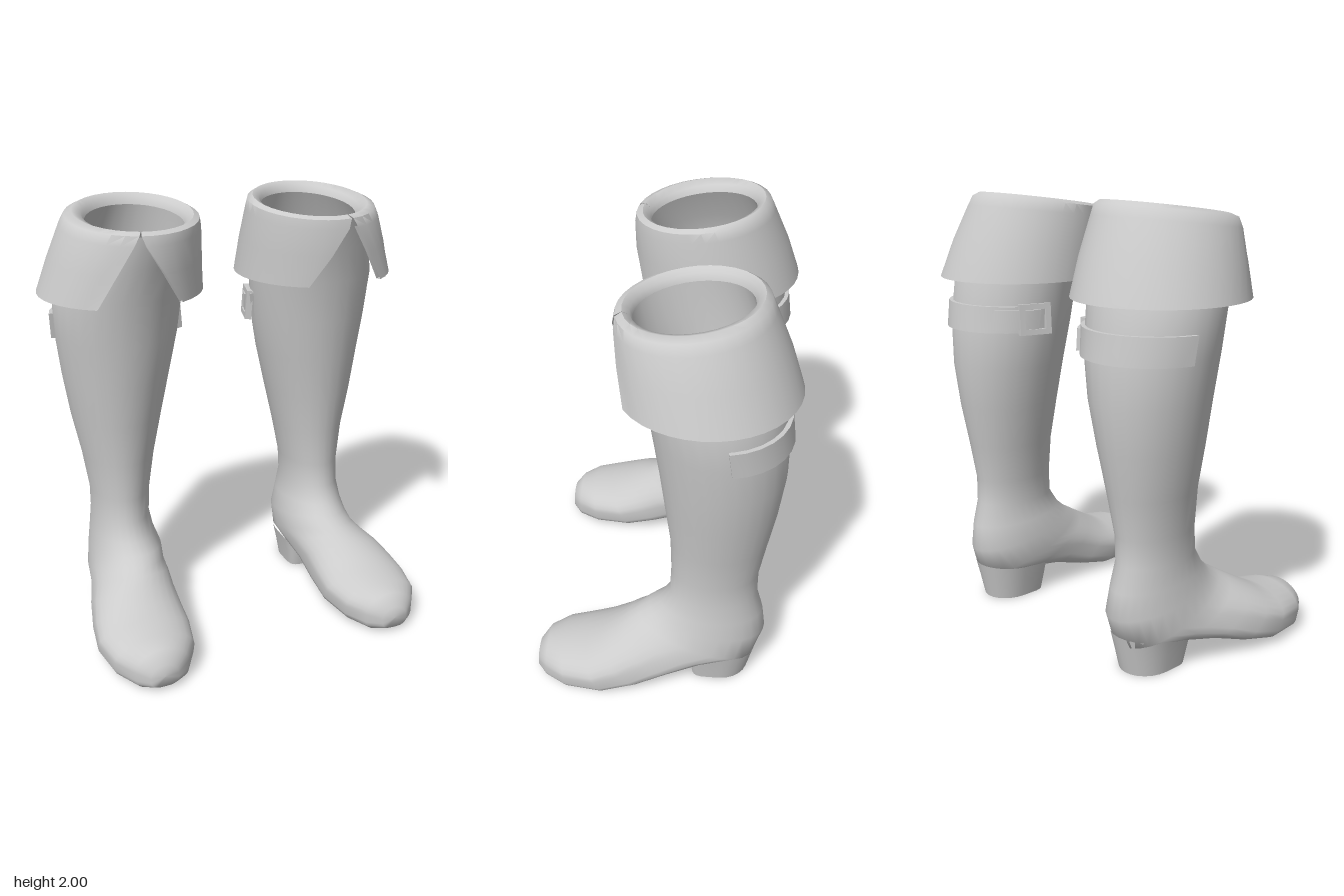
import * as THREE from 'three';
import { toCreasedNormals } from 'three/addons/utils/BufferGeometryUtils.js';

const TAU = Math.PI * 2;
const DEG = Math.PI / 180;
const grey = new THREE.MeshStandardMaterial({ color: 0xcccccc });
const greyDouble = new THREE.MeshStandardMaterial({ color: 0xcccccc, side: THREE.DoubleSide });

// A section is [front z, front y, back z, back y, min x, max x, squareness of the back half].
const SHAFT = [
  [0.14, 1.90, -0.385, 1.96, 0.17, 0.67],
  [0.10, 1.76, -0.46, 1.78, 0.18, 0.73],
  [0.06, 1.60, -0.51, 1.60, 0.19, 0.78],
  [0.03, 1.40, -0.54, 1.40, 0.21, 0.77],
  [0.00, 1.20, -0.54, 1.20, 0.25, 0.745],
  [-0.025, 1.00, -0.515, 1.00, 0.295, 0.715],
  [-0.05, 0.80, -0.48, 0.80, 0.34, 0.675],
  [-0.055, 0.62, -0.45, 0.62, 0.373, 0.65],
  [-0.05, 0.50, -0.45, 0.50, 0.38, 0.65],
];
const FOOT = [
  [0.00, 0.42, -0.48, 0.39, 0.365, 0.66],
  [0.05, 0.375, -0.495, 0.27, 0.34, 0.675],
  [0.10, 0.345, -0.45, 0.14, 0.345, 0.69, 0.85],
  [0.14, 0.32, -0.25, 0.125, 0.35, 0.71, 0.65],
  [0.20, 0.285, -0.08, 0.10, 0.36, 0.75, 0.55],
  [0.27, 0.245, 0.08, 0.05, 0.36, 0.78, 0.5],
  [0.34, 0.213, 0.24, 0.012, 0.36, 0.795, 0.5],
  [0.45, 0.197, 0.42, 0.003, 0.39, 0.765, 0.5],
  [0.525, 0.178, 0.53, 0.003, 0.45, 0.70, 0.5],
  [0.57, 0.125, 0.575, 0.02, 0.515, 0.645, 0.6],
  [0.577, 0.07, 0.577, 0.07, 0.58, 0.58],
];

// Point on a section at angle a: 0 is the front, 90 degrees the outer side.
function onSection([az, ay, bz, by, x0, x1, e = 1], a) {
  const s = Math.sin(a), c = Math.cos(a), k = c < 0 ? e : 1;
  const t = (1 - Math.sign(c) * Math.abs(c) ** k) / 2;
  const w = Math.sign(s) * Math.abs(s) ** k;
  return [(x0 + x1) / 2 + w * (x1 - x0) / 2, ay + (by - ay) * t, az + (bz - az) * t];
}

// Grow (or shrink) a section by d all round.
function offset([az, ay, bz, by, x0, x1, e], d) {
  return [az + d, ay, bz - d, by, x0 - d, x1 + d, e];
}

function shaftAt(y) {
  const i = SHAFT.findIndex((s) => s[1] <= y);
  const p = SHAFT[i - 1], q = SHAFT[i], t = (p[1] - y) / (p[1] - q[1]);
  const s = p.map((v, k) => v + (q[k] - v) * t);
  s[1] = s[3] = y;
  return s;
}

// Surface through rows of n points; closed rows join their ends.
function loft(rows, n, closed, flip) {
  const positions = [], index = [];
  const count = closed ? n : n + 1;
  rows.forEach((row) => {
    for (let j = 0; j < count; j++) positions.push(...row(j / n));
  });
  for (let i = 0; i < rows.length - 1; i++) {
    for (let j = 0; j < n; j++) {
      const k = (j + 1) % count;
      const a = i * count + j, b = a + count, c = (i + 1) * count + k, d = i * count + k;
      if (flip) index.push(a, c, b, a, d, c);
      else index.push(a, b, c, a, c, d);
    }
  }
  const g = new THREE.BufferGeometry();
  g.setAttribute('position', new THREE.Float32BufferAttribute(positions, 3));
  g.setIndex(index);
  g.computeVertexNormals();
  return g;
}

const rings = (sections) => sections.map((s) => (u) => onSection(s, u * TAU));

// Curved strip lying on the shaft, closing down to it at both ends.
function band(a0, a1, y0, y1, thick) {
  const edge = (y, d) => (u) =>
    onSection(offset(shaftAt(y), u === 0 || u === 1 ? -0.01 : d), a0 + (a1 - a0) * Math.min(Math.max((u * 16 - 1) / 14, 0), 1));
  const rows = [edge(y1, -0.01), edge(y1, thick), edge(y0, thick), edge(y0, -0.01)];
  return toCreasedNormals(loft(rows, 16, false), 40 * DEG);
}

function cuffGeometry() {
  // Section, opening half-angle and direction of the front slit.
  const rows = [
    [[0.105, 1.88, -0.37, 1.95, 0.205, 0.635], 0, 0.2],
    [[0.115, 1.907, -0.38, 1.985, 0.195, 0.65], 0, 0.2],
    [[0.145, 1.925, -0.405, 2.0, 0.165, 0.69], 0.005, 0.2],
    [[0.172, 1.912, -0.43, 1.985, 0.14, 0.725], 0.015, 0.2],
    [[0.18, 1.87, -0.45, 1.94, 0.133, 0.748], 0.08, 0.18],
    [[0.18, 1.75, -0.52, 1.78, 0.12, 0.80], 0.3, 0.1],
    [[0.18, 1.61, -0.578, 1.61, 0.108, 0.85], 0.53, 0.03],
    [[0.16, 1.61, -0.558, 1.61, 0.128, 0.83], 0.53, 0.03],
    [[0.16, 1.75, -0.50, 1.78, 0.14, 0.78], 0.3, 0.1],
    [[0.155, 1.87, -0.43, 1.94, 0.155, 0.725], 0.08, 0.18],
  ];
  const g = loft(rows.map(([s, gap, mid]) => (u) => onSection(s, mid + gap + u * (TAU - 2 * gap))), 32, false);
  return toCreasedNormals(g, 50 * DEG);
}

function heelGeometry() {
  // Listed back first, so the squared half is the front face.
  return toCreasedNormals(loft(rings([
    [-0.465, 0.18, -0.14, 0.15, 0.365, 0.66, 0.35],
    [-0.445, 0.09, -0.145, 0.09, 0.38, 0.645, 0.35],
    [-0.425, 0, -0.16, 0, 0.395, 0.63, 0.35],
    [-0.29, 0, -0.29, 0, 0.51, 0.51],
  ]), 24, true, true), 40 * DEG);
}

function liningGeometry() {
  const walls = SHAFT.slice(1).map((s) => offset(s, -0.025));
  return loft(rings([
    [0.105, 1.88, -0.37, 1.95, 0.205, 0.635],
    ...walls,
    [-0.03, 0.3, -0.42, 0.26, 0.39, 0.645],
    [-0.2, 0.24, -0.2, 0.24, 0.52, 0.52],
  ]), 28, true, true);
}

// Rectangular buckle frame on the inner side of the leg.
function buckleGeometry() {
  const frame = new THREE.Shape([[-0.075, -0.07], [0.075, -0.07], [0.075, 0.07], [-0.075, 0.07]].map((p) => new THREE.Vector2(...p)));
  frame.holes.push(new THREE.Path([[-0.05, -0.045], [-0.05, 0.045], [0.05, 0.045], [0.05, -0.045]].map((p) => new THREE.Vector2(...p))));
  const a = 254 * DEG;
  const g = new THREE.ExtrudeGeometry(frame, { depth: 0.03, bevelEnabled: false });
  g.rotateX(-0.08);
  g.rotateY(a);
  g.translate(...onSection(offset(shaftAt(1.44), 0.0), a));
  return g;
}

// Mirror a geometry in x and restore its facing.
function mirrored(source) {
  const g = source.index ? source.toNonIndexed() : source.clone();
  g.scale(-1, 1, 1);
  for (const attribute of Object.values(g.attributes)) {
    const { array, itemSize: n } = attribute;
    for (let i = 0; i < array.length; i += 3 * n) {
      for (let k = 0; k < n; k++) {
        [array[i + n + k], array[i + 2 * n + k]] = [array[i + 2 * n + k], array[i + n + k]];
      }
    }
  }
  return g;
}

export function createModel() {
  const model = new THREE.Group();
  model.name = 'bootPair';
  const parts = [
    ['legAndFoot', loft(rings([...SHAFT, ...FOOT]), 28, true), grey],
    ['lining', liningGeometry(), grey],
    ['cuff', cuffGeometry(), greyDouble],
    ['heel', heelGeometry(), grey],
    ['strap', band(100 * DEG, 268 * DEG, 1.38, 1.50, 0.018), greyDouble],
    ['strapEnd', band(218 * DEG, 258 * DEG, 1.395, 1.485, 0.03), greyDouble],
    ['buckle', buckleGeometry(), grey],
  ];
  for (const side of ['left', 'right']) {
    const boot = new THREE.Group();
    boot.name = side + 'Boot';
    for (const [name, geometry, material] of parts) {
      const mesh = new THREE.Mesh(side === 'left' ? geometry : mirrored(geometry), material);
      mesh.name = name;
      boot.add(mesh);
    }
    model.add(boot);
  }
  return model;
}
